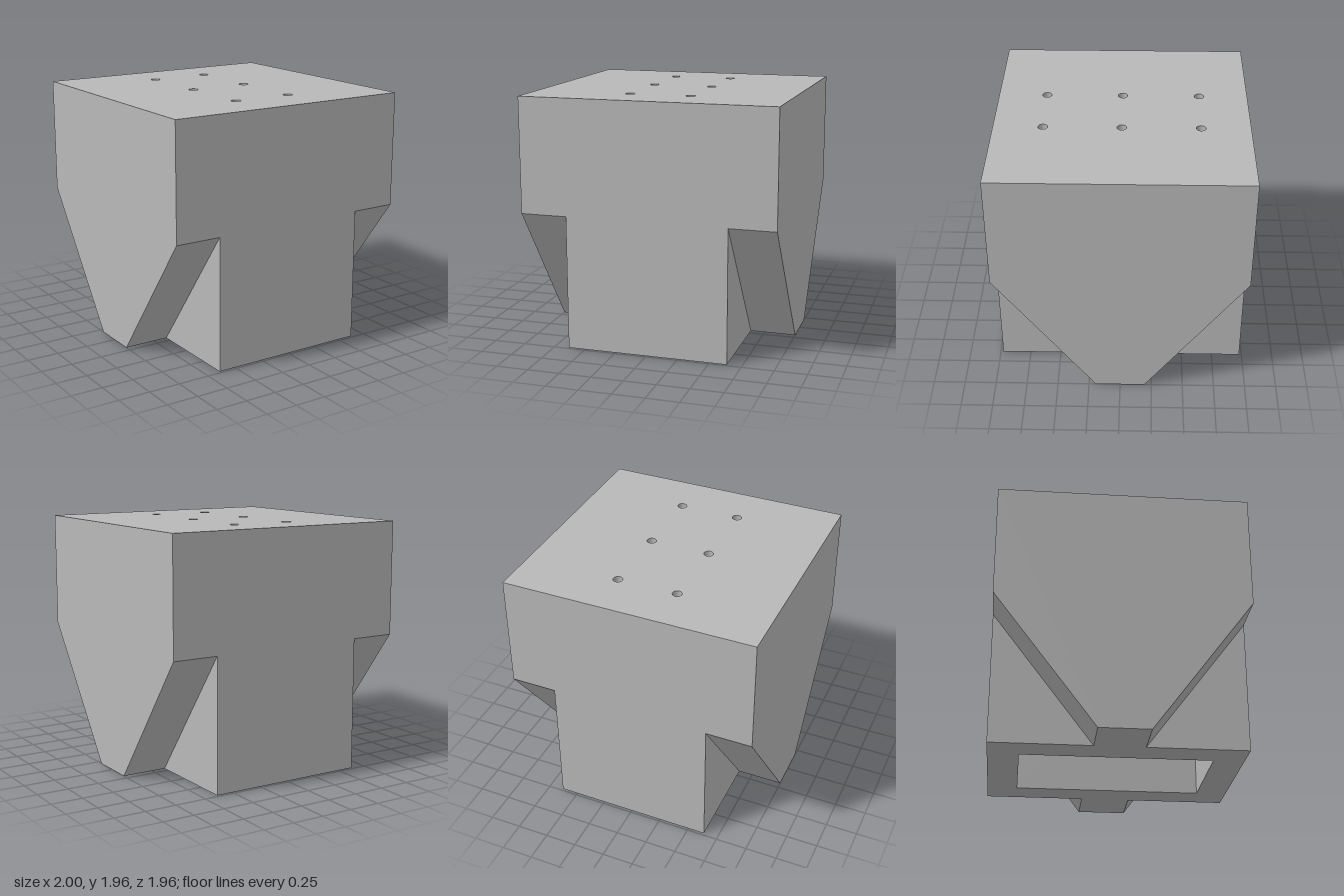
import * as THREE from 'three';

// Main dimensions (half widths, heights)
const W = 1, D = 0.98, H = 1.955;      // outer block
const CW = 0.635;                      // central socket half width
const SLOPE_Y = 1.05, FOOT_Z = 0.195;  // side gussets
const IW = 0.395, ID = 0.74, CEIL = 1.715; // socket cavity
const HOLE_R = 0.037;
const holes = [-0.24, 0.24].flatMap(x => [-0.6, 0, 0.6].map(z => [x, z]));

const polygon = pts => new THREE.Shape(pts.map(([x, y]) => new THREE.Vector2(x, y)));
const rect = (w, d) => polygon([[-w, -d], [w, -d], [w, d], [-w, d]]);

export function createModel() {
  const model = new THREE.Group();
  const grey = new THREE.MeshStandardMaterial({ color: 0xb8b8b8, side: THREE.DoubleSide });
  grey.name = 'plain grey';

  const add = (name, geometry) => {
    const mesh = new THREE.Mesh(geometry, grey);
    mesh.name = name;
    model.add(mesh);
    return mesh;
  };
  const drill = shape => {
    for (const [x, z] of holes) {
      const path = new THREE.Path();
      path.absarc(x, z, HOLE_R, 0, Math.PI * 2, true);
      shape.holes.push(path);
    }
    return shape;
  };
  const flat = shape => new THREE.ShapeGeometry(shape, 16);

  // Top face and cavity ceiling, both drilled
  add('topFace', flat(drill(rect(W, D))).rotateX(-Math.PI / 2).translate(0, H, 0));
  add('cavityCeiling', flat(drill(rect(IW, ID))).rotateX(Math.PI / 2).translate(0, CEIL, 0));

  // Bolt hole walls
  for (const [x, z] of holes) {
    add('boltHole', new THREE.CylinderGeometry(HOLE_R, HOLE_R, H - CEIL, 32, 1, true)
      .translate(x, (H + CEIL) / 2, z));
  }

  // Underside: socket rim with the two gusset feet
  const rim = polygon([
    [-CW, -D], [CW, -D], [CW, -FOOT_Z], [W, -FOOT_Z], [W, FOOT_Z], [CW, FOOT_Z],
    [CW, D], [-CW, D], [-CW, FOOT_Z], [-W, FOOT_Z], [-W, -FOOT_Z], [-CW, -FOOT_Z],
  ]);
  rim.holes.push(rect(IW, ID));
  add('undersideRim', flat(rim).rotateX(Math.PI / 2));

  // Outlines of the vertical outer faces
  const tee = polygon([[-CW, 0], [CW, 0], [CW, SLOPE_Y], [W, SLOPE_Y],
    [W, H], [-W, H], [-W, SLOPE_Y], [-CW, SLOPE_Y]]);
  const gusset = polygon([[-FOOT_Z, 0], [FOOT_Z, 0], [D, SLOPE_Y], [D, H], [-D, H], [-D, SLOPE_Y]]);
  const tilt = Math.atan2(D - FOOT_Z, SLOPE_Y);
  const slopeLength = Math.hypot(D - FOOT_Z, SLOPE_Y);

  for (const s of [1, -1]) {
    const turn = s > 0 ? 0 : Math.PI;
    const quarter = s * Math.PI / 2;

    // Front and back faces, outer side faces
    add(s > 0 ? 'frontFace' : 'backFace', flat(tee).translate(0, 0, D).rotateY(turn));
    add(s > 0 ? 'leftFace' : 'rightFace', flat(gusset).translate(0, 0, W).rotateY(quarter));

    for (const t of [1, -1]) {
      // Exposed socket side beside the gusset
      const corner = polygon([[t * FOOT_Z, 0], [t * D, 0], [t * D, SLOPE_Y]]);
      add('socketSide', flat(corner).translate(0, 0, CW).rotateY(quarter));

      // Sloping gusset underside
      add('gussetSlope', new THREE.PlaneGeometry(W - CW, slopeLength)
        .rotateX(tilt)
        .translate(t * (W + CW) / 2, SLOPE_Y / 2, (D + FOOT_Z) / 2)
        .rotateY(turn));
    }

    // Cavity walls, facing inward
    add('cavityEndWall', new THREE.PlaneGeometry(IW * 2, CEIL)
      .translate(0, CEIL / 2, -ID).rotateY(turn));
    add('cavitySideWall', new THREE.PlaneGeometry(ID * 2, CEIL)
      .translate(0, CEIL / 2, -IW).rotateY(quarter));
  }
  return model;
}
